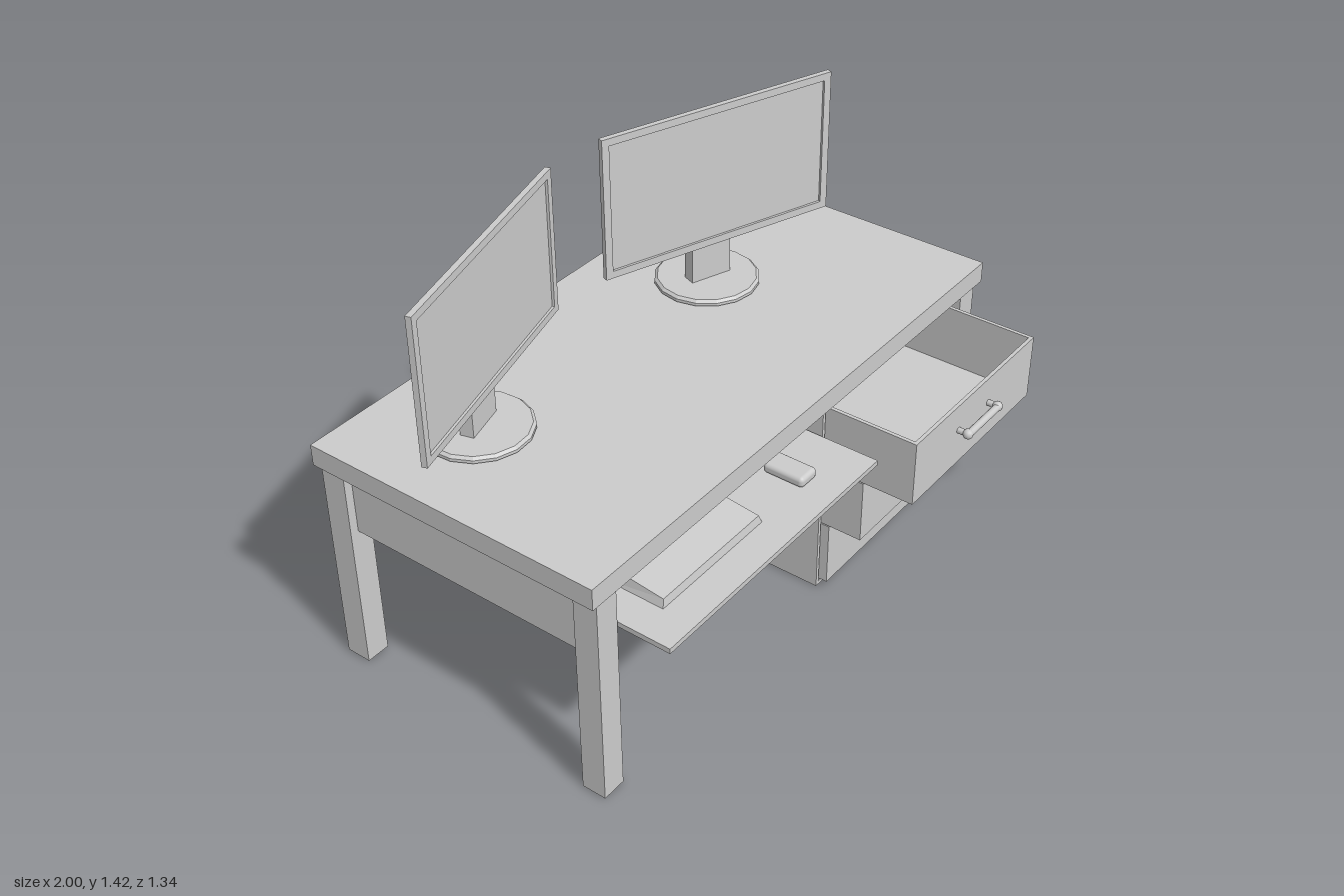
import * as THREE from 'three';
import { RoundedBoxGeometry } from 'three/addons/geometries/RoundedBoxGeometry.js';

const flat = new THREE.MeshStandardMaterial({ color: 0xcccccc, flatShading: true, side: THREE.DoubleSide });
const smooth = new THREE.MeshStandardMaterial({ color: 0xcccccc });

function add(parent, name, geometry, material = flat) {
  const mesh = new THREE.Mesh(geometry, material);
  mesh.name = name;
  parent.add(mesh);
  return mesh;
}

// Box given by its limits on each axis
function slab(parent, name, [x0, x1], [y0, y1], [z0, z1]) {
  const mesh = add(parent, name, new THREE.BoxGeometry(x1 - x0, y1 - y0, z1 - z0));
  mesh.position.set((x0 + x1) / 2, (y0 + y1) / 2, (z0 + z1) / 2);
  return mesh;
}

function group(parent, name) {
  const g = new THREE.Group();
  g.name = name;
  parent.add(g);
  return g;
}

function buildTable(root) {
  const table = group(root, 'table');
  slab(table, 'tabletop', [-0.96, 1], [0.715, 0.785], [-0.67, 0.345]);
  for (const x of [[-0.94, -0.86], [0.88, 0.96]])
    for (const z of [[0.26, 0.34], [-0.66, -0.575]]) slab(table, 'leg', x, [0.003, 0.715], z);
  // Rails under the top
  slab(table, 'backRail', [-0.86, 0.88], [0.49, 0.715], [-0.632, -0.605]);
  slab(table, 'leftRail', [0.905, 0.932], [0.49, 0.715], [-0.575, 0.26]);
  slab(table, 'rightRail', [-0.912, -0.885], [0.49, 0.715], [-0.575, 0.26]);
  slab(table, 'keyboardTray', [-0.855, 0.135], [0.58, 0.597], [-0.35, 0.51]);
}

// U-shaped pull with rounded corners
function buildHandle(parent, y, z) {
  const handle = group(parent, 'handle');
  handle.position.set(0.497, y, z);
  const bar = add(handle, 'handleBar', new THREE.CylinderGeometry(0.012, 0.012, 0.18, 12), smooth);
  bar.rotation.z = Math.PI / 2;
  bar.position.z = 0.035;
  for (const s of [-1, 1]) {
    const post = add(handle, 'handlePost', new THREE.CylinderGeometry(0.01, 0.01, 0.036, 12), smooth);
    post.rotation.x = Math.PI / 2;
    post.position.set(s * 0.088, 0, 0.018);
    const end = add(handle, 'handleEnd', new THREE.SphereGeometry(0.0165, 12, 8), smooth);
    end.position.set(s * 0.088, 0, 0.033);
  }
}

function buildCabinet(root) {
  const cabinet = group(root, 'cabinet');
  const x = [0.145, 0.872], y = [0, 0.703], z = [-0.63, 0.31], t = 0.012;
  slab(cabinet, 'cabinetSide', [x[0], x[0] + t], y, z);
  slab(cabinet, 'cabinetSide', [x[1] - t, x[1]], y, z);
  slab(cabinet, 'cabinetBottom', [x[0] + t, x[1] - t], [0, t], z);
  slab(cabinet, 'cabinetTop', [x[0] + t, x[1] - t], [y[1] - t, y[1]], z);
  slab(cabinet, 'cabinetBack', [x[0] + t, x[1] - t], [t, y[1] - t], [z[0], z[0] + t]);

  // Drawers pulled out by different amounts: bottom, top, front face
  for (const [y0, y1, front, handleY] of [
    [0.02, 0.242, 0.337, 0.15],
    [0.246, 0.463, 0.45, 0.373],
    [0.467, 0.686, 0.62, 0.593],
  ]) {
    const drawer = group(cabinet, 'drawer');
    const a = 0.162, b = 0.854, back = front - 0.9, w = 0.012;
    slab(drawer, 'drawerFront', [a, b], [y0, y1], [front - w, front]);
    slab(drawer, 'drawerBack', [a, b], [y0, y1], [back, back + w]);
    slab(drawer, 'drawerSide', [a, a + w], [y0, y1], [back + w, front - w]);
    slab(drawer, 'drawerSide', [b - w, b], [y0, y1], [back + w, front - w]);
    slab(drawer, 'drawerBottom', [a + w, b - w], [y0, y0 + w], [back + w, front - w]);
    buildHandle(drawer, handleY, front);
  }
}

function buildMonitor(root, x, z, angle) {
  const monitor = group(root, 'monitor');
  monitor.position.set(x, 0, z);
  monitor.rotation.y = angle;

  // Bezel around a slightly recessed screen
  const W = 0.808, y0 = 0.958, y1 = 1.425, m = 0.024;
  const frame = new THREE.Shape([[-W / 2, y0], [W / 2, y0], [W / 2, y1], [-W / 2, y1]].map(p => new THREE.Vector2(...p)));
  frame.holes.push(new THREE.Path([[-W / 2 + m, y0 + m], [-W / 2 + m, y1 - m], [W / 2 - m, y1 - m], [W / 2 - m, y0 + m]]
    .map(p => new THREE.Vector2(...p))));
  const bezel = add(monitor, 'bezel', new THREE.ExtrudeGeometry(frame, { depth: 0.018, bevelEnabled: false }));
  bezel.position.z = -0.009;
  slab(monitor, 'screen', [-W / 2 + m, W / 2 - m], [y0 + m, y1 - m], [-0.009, 0.001]);

  // Bent neck: side profile of distance behind the screen and height
  const profile = [[0.081, 0.8], [0.081, 1.16], [0.049, 1.297], [0.006, 1.297], [0.006, 1.163], [0.038, 1.163], [0.038, 0.8]];
  const neck = new THREE.ExtrudeGeometry(new THREE.Shape(profile.map(p => new THREE.Vector2(...p))),
    { depth: 0.14, bevelEnabled: false });
  neck.translate(0, 0, -0.07).rotateY(Math.PI / 2);
  add(monitor, 'neck', neck);

  // Faceted round foot with softened rim
  const rim = [[0, 0.785], [0.158, 0.785], [0.167, 0.791], [0.167, 0.801], [0.158, 0.809], [0, 0.809]];
  const foot = add(monitor, 'foot', new THREE.LatheGeometry(rim.map(p => new THREE.Vector2(...p)), 16));
  foot.position.z = -0.063;
}

function buildInputs(root) {
  // Wedge keyboard: top face inset and raised toward the back
  const geo = new THREE.BoxGeometry(0.45, 0.026, 0.21);
  const p = geo.attributes.position;
  for (let i = 0; i < p.count; i++) {
    if (p.getY(i) < 0) continue;
    p.setX(i, p.getX(i) * 0.96);
    if (p.getZ(i) < 0) p.setY(i, p.getY(i) + 0.022);
    p.setZ(i, p.getZ(i) * 0.95);
  }
  geo.computeVertexNormals();
  add(root, 'keyboard', geo).position.set(-0.52, 0.61, 0.297);

  add(root, 'mouse', new RoundedBoxGeometry(0.078, 0.036, 0.14, 3, 0.014), smooth).position.set(-0.073, 0.615, 0.342);
}

export function createModel() {
  const root = new THREE.Group();
  root.name = 'workDesk';
  buildTable(root);
  buildCabinet(root);
  buildMonitor(root, -0.61, -0.285, THREE.MathUtils.degToRad(15.7));
  buildMonitor(root, 0.37, -0.243, THREE.MathUtils.degToRad(-20));
  buildInputs(root);
  return root;
}
